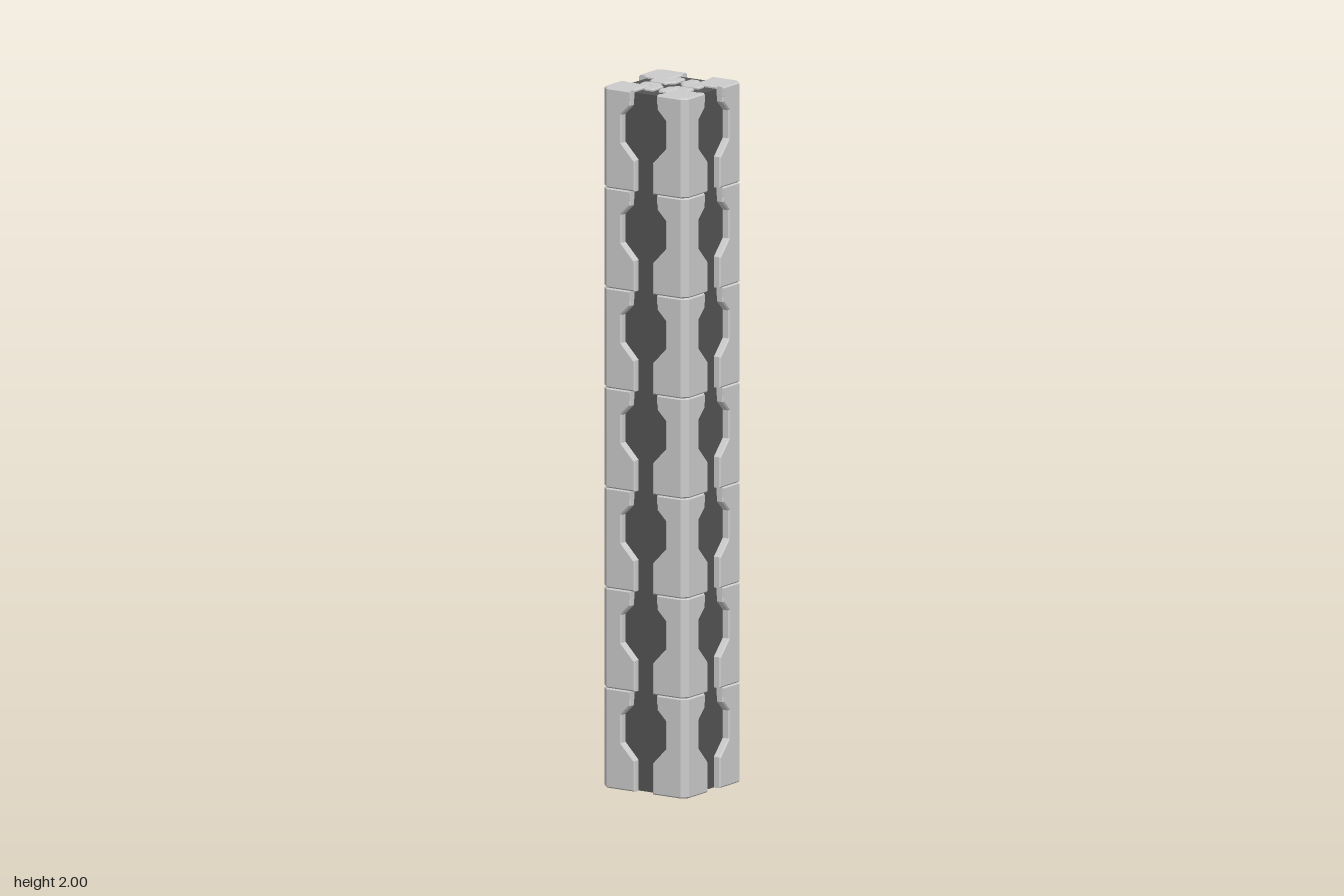
import * as THREE from 'three';

const COUNT = 7;
const H = 2 / COUNT; // height of one segment
const R = 0.142; // half width of the column
const CORE = 0.119; // half width of the dark core

const grey = new THREE.MeshStandardMaterial({ color: 0xcccccc, flatShading: true });
const dark = new THREE.MeshStandardMaterial({ color: 0x545454, flatShading: true });

const polygon = (points) => new THREE.Shape(points.map(([x, y]) => new THREE.Vector2(x, y)));

// Extrude whose bevel stays inside the outline and the given depth
function slab(shape, depth, bevel) {
  const geometry = new THREE.ExtrudeGeometry(shape, {
    depth: depth - 2 * bevel,
    bevelEnabled: bevel > 0,
    bevelThickness: bevel,
    bevelSize: bevel,
    bevelOffset: -bevel,
    bevelSegments: 1,
  });
  return geometry.translate(0, 0, bevel);
}

// The same, standing upright from height y
const upright = (shape, height, bevel, y = 0) =>
  slab(shape, height, bevel).rotateX(-Math.PI / 2).translate(0, y, 0);

function part(name, geometry, material) {
  const mesh = new THREE.Mesh(geometry, material);
  mesh.name = name;
  return mesh;
}

const square = (r) => polygon([[-r, -r], [r, -r], [r, r], [-r, r]]);

// Angled shell wrapping each outer corner
const postGeometry = upright(polygon([
  [0.08, CORE], [CORE, CORE], [CORE, 0.08], [R, 0.08],
  [R, R - 0.017], [R - 0.017, R], [0.08, R],
]), H, 0.004);

// Chamfered block closing the top of the corner shell
const capGeometry = upright(polygon([
  [0.046, 0.046], [R, 0.046], [R, R - 0.017], [R - 0.017, R], [0.046, R],
]), 0.03, 0.004, H - 0.03);

// Plate with a notched inner edge, beside the central groove
const plateGeometry = slab(polygon([
  [0.03, 0], [0.095, 0], [0.095, H], [0.045, H], [0.045, 0.243],
  [0.074, 0.214], [0.074, 0.134], [0.03, 0.088],
]), R - CORE + 0.002, 0.004).translate(0, 0, CORE - 0.002);

// Inner angle column with a chamfered heel
const innerGeometry = upright(polygon([
  [0.008, 0.03], [0.03, 0.008], [0.078, 0.008], [0.083, 0.013], [0.083, 0.037],
  [0.078, 0.042], [0.048, 0.042], [0.042, 0.048], [0.042, 0.078], [0.037, 0.083],
  [0.013, 0.083], [0.008, 0.078],
]), H, 0.004);

function createSegment() {
  const segment = new THREE.Group();
  segment.name = 'segment';

  for (let i = 0; i < 4; i++) {
    const side = new THREE.Group();
    side.name = 'cornerAndFace';
    side.rotation.y = (i * Math.PI) / 2;
    const leftPlate = part('notchedPlate', plateGeometry, grey);
    const rightPlate = part('notchedPlate', plateGeometry, grey);
    rightPlate.scale.x = -1;
    side.add(
      part('cornerPost', postGeometry, grey),
      part('cornerCap', capGeometry, grey),
      part('innerColumn', innerGeometry, grey),
      leftPlate,
      rightPlate,
    );
    segment.add(side);
  }

  // Dark floor between the inner columns
  segment.add(part('floorPlate', upright(square(CORE - 0.005), 0.02, 0, H - 0.028), dark));
  return segment;
}

export function createModel() {
  const model = new THREE.Group();
  model.name = 'segmentedColumn';

  // Hollow dark core, open at the bottom
  const tube = square(CORE);
  tube.holes.push(square(0.1));
  model.add(part('core', upright(tube, 2 - 0.008, 0), dark));

  const segment = createSegment();
  for (let i = 0; i < COUNT; i++) {
    const copy = segment.clone();
    copy.position.y = i * H;
    model.add(copy);
  }
  return model;
}
